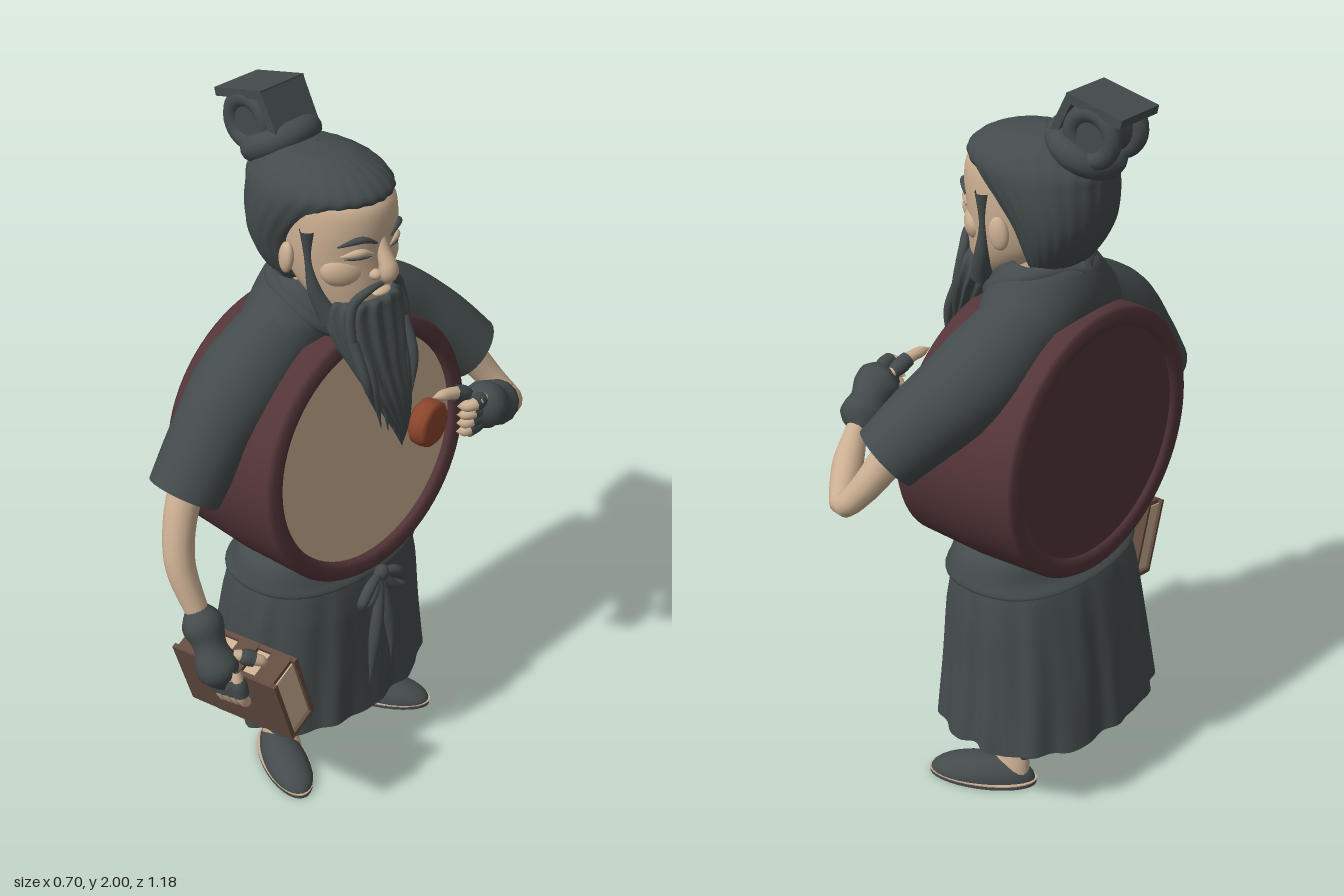
import * as THREE from 'three';
import { mergeVertices } from 'three/addons/utils/BufferGeometryUtils.js';

const V = (p) => new THREE.Vector3(...p);
const mat = (name, color, side = THREE.FrontSide) => {
  const m = new THREE.MeshStandardMaterial({ color, side });
  m.name = name;
  return m;
};

export function createModel() {
  const cloth = mat('slate cloth and hair', 0x444b4c, THREE.DoubleSide);
  const skin = mat('skin', 0xcbaf92);
  const hide = mat('drum hide', 0xcdb092);
  const wood = mat('maroon wood', 0x533538, THREE.DoubleSide);
  const red = mat('red clay', 0x8c452c);
  const leather = mat('brown leather', 0x644d40);

  const model = new THREE.Group();
  // The figure is modelled facing +z, then turned to look along +x
  const body = new THREE.Group();
  body.name = 'drummer';
  body.rotation.y = Math.PI / 2;
  model.add(body);

  const add = (name, geo, m, pos = [0, 0, 0], rot = [0, 0, 0], parent = body) => {
    const mesh = new THREE.Mesh(geo, m);
    mesh.name = name;
    mesh.position.set(...pos);
    mesh.rotation.set(...rot);
    parent.add(mesh);
    return mesh;
  };

  // Skin through horizontal ellipses [y, cx, cz, rx, rz], listed from bottom to top
  const loft = (rings, rule, n = 48, rows = 40) => {
    const mid = new THREE.CatmullRomCurve3(rings.map((r) => V([r[1], r[0], r[2]])));
    const rad = new THREE.CatmullRomCurve3(rings.map((r, i) => V([r[3], i * 0.05, r[4]])));
    const pos = [], idx = [];
    for (let i = 0; i <= rows; i++) {
      const t = i / rows, c = mid.getPoint(t), r = rad.getPoint(t);
      for (let j = 0; j < n; j++) {
        const a = (j / n) * Math.PI * 2;
        const p = V([Math.sin(a) * Math.max(r.x, 0.001), 0, Math.cos(a) * Math.max(r.z, 0.001)]);
        if (rule) rule(p, a, t);
        p.add(c);
        pos.push(p.x, p.y, p.z);
        if (i < rows) {
          const k = i * n + j, l = i * n + ((j + 1) % n);
          idx.push(k, l, k + n, l, l + n, k + n);
        }
      }
    }
    const g = new THREE.BufferGeometry();
    g.setAttribute('position', new THREE.Float32BufferAttribute(pos, 3));
    g.setIndex(idx);
    g.computeVertexNormals();
    return g;
  };

  // Tube along points whose radius follows a list
  const sweep = (pts, radii, seg = 20, sides = 14) => {
    const curve = new THREE.CatmullRomCurve3(pts.map(V));
    const g = new THREE.TubeGeometry(curve, seg, 1, sides);
    const rad = new THREE.CatmullRomCurve3(radii.map((r, i) => V([i * 0.05, r, 0])));
    const p = g.attributes.position, v = V([0, 0, 0]);
    for (let i = 0; i < p.count; i++) {
      const t = Math.floor(i / (sides + 1)) / seg, c = curve.getPointAt(t);
      v.fromBufferAttribute(p, i).sub(c).multiplyScalar(Math.max(rad.getPoint(t).y, 0.0005)).add(c);
      p.setXYZ(i, v.x, v.y, v.z);
    }
    g.deleteAttribute('uv');
    g.deleteAttribute('normal');
    const out = mergeVertices(g, 1e-6);
    out.computeVertexNormals();
    return out;
  };
  const blob = (name, m, pos, size, rot) =>
    add(name, new THREE.SphereGeometry(1, 24, 16), m, pos, rot).scale.set(...size);

  // Drum: upright back, front leaning up; raised rims, hide in front, board behind
  const drum = new THREE.Group();
  drum.name = 'drum';
  drum.position.set(0, 1.058, -0.262);
  drum.rotation.x = Math.PI / 2;
  drum.scale.z = 0.965;
  body.add(drum);
  const lean = (g) => {
    const p = g.attributes.position;
    for (let i = 0; i < p.count; i++) p.setY(i, p.getY(i) * (1 + 0.2 * p.getZ(i)));
    g.computeVertexNormals();
    return g;
  };
  const shell = [[0.322, 0.02], [0.326, 0.005], [0.345, 0], [0.372, 0], [0.38, 0.012], [0.381, 0.05], [0.387, 0.19],
    [0.381, 0.34], [0.38, 0.37], [0.37, 0.382], [0.342, 0.382], [0.328, 0.375], [0.324, 0.352]];
  add('drumShell', lean(new THREE.LatheGeometry(shell.map((p) => new THREE.Vector2(...p)), 72)), wood, [0, 0, 0], [0, 0, 0], drum);
  add('drumHide', lean(new THREE.CylinderGeometry(0.326, 0.326, 0.008, 64).toNonIndexed().translate(0, 0.36, 0)), hide, [0, 0, 0], [0, 0, 0], drum);
  add('drumBack', new THREE.CylinderGeometry(0.325, 0.325, 0.01, 64), wood, [0, 0.018, 0], [0, 0, 0], drum);

  // Robe over the shoulders, with a wrapped collar
  add('robeYoke', loft([[1.15, 0, -0.08, 0.3, 0.11], [1.3, 0, -0.085, 0.31, 0.125], [1.4, 0, -0.09, 0.26, 0.135],
    [1.47, 0, -0.085, 0.19, 0.14], [1.53, 0, -0.09, 0.135, 0.115], [1.545, 0, -0.09, 0.11, 0.095], [1.48, 0, -0.08, 0.09, 0.08]]), cloth);
  for (const s of [-1, 1])
    add('collarFold', sweep([[0, 1.53, -0.19], [s * 0.11, 1.525, -0.12], [s * 0.12, 1.47, 0], [s * 0.05, 1.4, 0.065]],
      [0.022, 0.024, 0.024, 0.01]), cloth);

  // Sleeves and bare arms
  add('rightSleeve', sweep([[-0.12, 1.39, -0.09], [-0.29, 1.28, -0.09], [-0.39, 1.17, -0.095], [-0.468, 1.06, -0.1]],
    [0.11, 0.12, 0.105, 0.096], 24, 28), cloth);
  add('leftSleeve', sweep([[0.12, 1.39, -0.1], [0.3, 1.295, -0.075], [0.41, 1.21, -0.015], [0.49, 1.125, 0.045]],
    [0.11, 0.12, 0.108, 0.092], 24, 28), cloth);
  add('rightArm', sweep([[-0.44, 1.12, -0.1], [-0.5, 1, -0.085], [-0.53, 0.89, -0.06], [-0.525, 0.75, -0.005]],
    [0.05, 0.044, 0.039, 0.03]), skin);
  add('leftArm', sweep([[0.46, 1.15, 0.03], [0.53, 1.03, 0.095], [0.55, 0.985, 0.14], [0.47, 1.03, 0.2], [0.37, 1.09, 0.255]],
    [0.05, 0.04, 0.033, 0.04, 0.028], 28), skin);

  // Gloves: flared cuff and palm; fingers are covered at the root and bare at the tip
  add('rightGlove', sweep([[-0.525, 0.79, -0.03], [-0.525, 0.775, -0.02], [-0.527, 0.71, 0.02], [-0.535, 0.64, 0.06], [-0.525, 0.56, 0.1]],
    [0.01, 0.055, 0.044, 0.058, 0.01]), cloth);
  add('leftGlove', sweep([[0.385, 1.085, 0.235], [0.37, 1.092, 0.243], [0.325, 1.12, 0.265], [0.26, 1.155, 0.285], [0.19, 1.17, 0.285]],
    [0.01, 0.062, 0.05, 0.064, 0.02]), cloth);
  const finger = (a, b, c) => {
    add('gloveFinger', sweep([a, a.map((v, i) => (v + b[i]) / 2), b], [0, 0.021, 0.021], 8, 10), cloth);
    add('fingerTip', sweep([a, b, c], [0.01, 0.015, 0.017, 0.017, 0.016, 0.014, 0], 16, 10), skin);
  };
  for (let k = 0; k < 4; k++) {
    const z = 0.055 + k * 0.026, y = 0.008 * k;
    finger([-0.53, 0.62 + y, z], [-0.527, 0.545 + y, z + 0.012], [-0.5, 0.49 + y, z + 0.012]);
    finger([0.26, 1.19 - k * 0.022, 0.295], [0.178, 1.198 - k * 0.028, 0.305 - k * 0.005], [0.165, 1.182 - k * 0.026, 0.265]);
  }
  finger([-0.5, 0.66, 0.09], [-0.46, 0.64, 0.13], [-0.43, 0.62, 0.15]);
  finger([0.25, 1.18, 0.26], [0.17, 1.215, 0.25], [0.1, 1.225, 0.235]);

  // Round clay beater held against the drum
  const beater = [[0, -0.03], [0.05, -0.03], [0.062, -0.02], [0.065, 0], [0.062, 0.02], [0.05, 0.03], [0, 0.03]];
  add('beater', new THREE.LatheGeometry(beater.map((p) => new THREE.Vector2(...p)), 32), red, [0.112, 1.135, 0.212], [Math.PI / 2, 0, -0.15]);

  // Book: two covers, a spine, pages and straps
  const book = new THREE.Group();
  book.name = 'book';
  book.position.set(-0.428, 0.508, 0.052);
  book.rotation.set(-0.05, 0.15, 0.28);
  body.add(book);
  const slab = (name, m, size, pos) => add(name, new THREE.BoxGeometry(...size), m, pos, [0, 0, 0], book);
  for (const s of [-1, 1]) slab('bookCover', leather, [0.014, 0.225, 0.335], [s * 0.047, 0, 0]);
  slab('bookSpine', leather, [0.09, 0.012, 0.335], [0, -0.107, 0]);
  slab('bookPages', hide, [0.082, 0.2, 0.318], [0, 0.002, 0]);
  for (const z of [-0.125, 0.02, 0.125]) slab('bookStrap', leather, [0.102, 0.012, 0.06], [0, 0.108, z]);

  // Pleated skirt, squarish in plan, slit on the right side only
  const hang = (p, a, t) => {
    const w = 1 - t, f = 1 + w * (0.022 * Math.sin(a * 14 + 2 * w) + 0.01 * Math.sin(a * 23)) + 0.06 * Math.sin(2 * a) ** 2;
    p.x *= f;
    p.z *= f;
    const slit = Math.exp(-(((a - 4.78) / 0.08) ** 2));
    p.y += w ** 4 * (0.14 * slit + 0.005 * Math.sin(a * 9));
  };
  add('skirt', loft([[0.215, 0, -0.093, 0.335, 0.25], [0.4, 0, -0.085, 0.31, 0.235], [0.58, 0, -0.073, 0.293, 0.214],
    [0.68, 0, -0.066, 0.272, 0.192], [0.77, 0, -0.055, 0.22, 0.14]], hang, 160, 30), cloth);
  add('sash', loft([[0.668, 0, -0.066, 0.275, 0.19], [0.678, 0, -0.064, 0.298, 0.208], [0.705, 0, -0.056, 0.294, 0.186],
    [0.755, 0, -0.055, 0.275, 0.165], [0.785, 0, -0.055, 0.235, 0.14]], (p, a) => p.multiplyScalar(1 + 0.05 * Math.sin(2 * a) ** 2), 48, 16), cloth);
  blob('sashKnot', cloth, [0.005, 0.672, 0.155], [0.024, 0.024, 0.02]);
  for (const s of [-1, 1]) {
    add('sashLoop', sweep([[0, 0.675, 0.155], [s * 0.045, 0.665, 0.165], [s * 0.085, 0.61, 0.165], [s * 0.055, 0.61, 0.165], [0, 0.668, 0.155]],
      [0.008, 0.016, 0.015, 0.014, 0.008]), cloth);
    add('sashTail', sweep([[0, 0.67, 0.155], [s * 0.015, 0.58, 0.165], [s * 0.035, 0.46, 0.168], [s * 0.045 - 0.01, 0.34 + s * 0.02, 0.17]],
      [0.01, 0.015, 0.019, 0.012, 0]), cloth);
  }

  // Legs and slippers, toes turned out
  for (const s of [-1, 1]) {
    add('trouserLeg', loft([[0.125, s * 0.148, -0.09, 0.02, 0.03], [0.125, s * 0.148, -0.09, 0.046, 0.066], [0.25, s * 0.145, -0.085, 0.05, 0.075],
      [0.45, s * 0.14, -0.08, 0.09, 0.11], [0.65, s * 0.12, -0.07, 0.11, 0.12]], null, 24, 16), cloth);
    add('ankle', loft([[0.03, s * 0.165, -0.075, 0.042, 0.07], [0.08, s * 0.16, -0.085, 0.038, 0.058], [0.16, s * 0.15, -0.09, 0.035, 0.045]], null, 20, 8), skin);
    const foot = new THREE.Group();
    foot.name = 'slipper';
    foot.position.set(s * 0.208, 0, -0.02);
    foot.rotation.y = s * 0.45;
    body.add(foot);
    const shoe = new THREE.SphereGeometry(1, 32, 20), p = shoe.attributes.position;
    for (let i = 0; i < p.count; i++) {
      const x = p.getX(i), y = p.getY(i), z = p.getZ(i);
      p.setXYZ(i, x * (0.062 + 0.008 * z), y < 0 ? 0.012 : 0.012 + y * (0.064 - 0.012 * z), z * 0.151);
    }
    shoe.computeVertexNormals();
    add('slipperUpper', shoe, cloth, [0, 0, 0], [0, 0, 0], foot);
    add('sole', new THREE.CylinderGeometry(1, 1, 0.012, 32), cloth, [0, 0.006, 0], [0, 0, 0], foot).scale.set(0.065, 1, 0.154);
    add('soleTrim', new THREE.CylinderGeometry(1, 1, 0.004, 32), skin, [0, 0.013, 0], [0, 0, 0], foot).scale.set(0.0665, 1, 0.1555);
  }

  // Neck, head and face
  add('neck', sweep([[0, 1.4, -0.07], [0, 1.5, -0.05], [0, 1.6, -0.03]], [0.08, 0.078, 0.08]), skin);
  add('head', loft([[1.45, 0, 0.08, 0, 0], [1.46, 0, 0.08, 0.05, 0.05], [1.51, 0, 0.04, 0.1, 0.1], [1.57, 0, 0.01, 0.124, 0.134],
    [1.65, 0, 0, 0.137, 0.144], [1.72, 0, 0, 0.138, 0.152], [1.78, 0, -0.005, 0.13, 0.148], [1.83, 0, -0.02, 0.09, 0.1], [1.85, 0, -0.02, 0, 0]]), skin);
  add('nose', sweep([[0, 1.71, 0.135], [0, 1.66, 0.148], [0, 1.61, 0.166], [0, 1.592, 0.155], [0, 1.588, 0.13]], [0.01, 0.015, 0.021, 0.024, 0]), skin);
  blob('lowerLip', skin, [0, 1.547, 0.143], [0.03, 0.01, 0.018]);
  for (const s of [-1, 1]) {
    blob('nostril', skin, [s * 0.024, 1.602, 0.143], [0.016, 0.014, 0.018]);
    blob('cheek', skin, [s * 0.068, 1.615, 0.084], [0.065, 0.05, 0.039], [0, s * 0.5, 0]);
    blob('ear', skin, [s * 0.146, 1.63, -0.04], [0.016, 0.043, 0.026], [0.15, s * 0.3, 0]);
    add('eyebrow', sweep([[s * 0.025, 1.69, 0.149], [s * 0.065, 1.708, 0.137], [s * 0.11, 1.69, 0.097]], [0.003, 0.009, 0.002]), cloth);
    add('eyelid', sweep([[s * 0.03, 1.66, 0.14], [s * 0.062, 1.67, 0.13], [s * 0.1, 1.66, 0.097]], [0.004, 0.012, 0.004]), skin);
    add('eyeLine', sweep([[s * 0.035, 1.655, 0.142], [s * 0.062, 1.657, 0.135], [s * 0.095, 1.654, 0.106]], [0.001, 0.004, 0.001]), cloth);
    add('moustache', sweep([[s * 0.004, 1.575, 0.152], [s * 0.045, 1.567, 0.145], [s * 0.085, 1.53, 0.125], [s * 0.1, 1.44, 0.135], [s * 0.085, 1.34, 0.165]],
      [0.006, 0.012, 0.014, 0.012, 0.001]), cloth);
    add('sideburn', sweep([[s * 0.13, 1.72, 0.02], [s * 0.13, 1.63, 0.022], [s * 0.12, 1.55, 0.035], [s * 0.095, 1.48, 0.06]],
      [0.022, 0.011, 0.02, 0.03]), cloth);
  }

  // Long beard with loose strands
  const groove = (amp, count) => (p, a) => p.multiplyScalar(1 + amp * Math.sin(a * count));
  add('beard', loft([[1.07, 0.06, 0.17, 0, 0], [1.15, 0.04, 0.18, 0.028, 0.018], [1.25, 0.015, 0.175, 0.062, 0.03], [1.35, 0, 0.145, 0.092, 0.045],
    [1.44, 0, 0.105, 0.118, 0.068], [1.5, 0, 0.085, 0.117, 0.078], [1.53, 0, 0.085, 0.098, 0.07], [1.535, 0, 0.085, 0, 0]], groove(0.06, 15), 90), cloth);
  for (const [x, len] of [[-0.1, 0.2], [-0.07, 0.26], [-0.035, 0.28], [0, 0.3], [0.03, 0.33], [0.06, 0.26], [0.09, 0.2]])
    add('beardStrand', sweep([[x, 1.44, 0.14], [x * 0.95, 1.44 - len * 0.5, 0.18], [x * 0.75 + 0.012, 1.44 - len, 0.185]], [0.014, 0.013, 0.001]), cloth);

  // Combed hair, topknot and flat headpiece
  add('hair', loft([[1.51, 0, -0.11, 0.03, 0.02], [1.53, 0, -0.115, 0.09, 0.06], [1.59, 0, -0.13, 0.128, 0.09], [1.65, 0, -0.13, 0.147, 0.12],
    [1.71, 0, -0.107, 0.157, 0.155], [1.765, 0, -0.076, 0.158, 0.189], [1.8, 0, -0.06, 0.15, 0.204], [1.84, 0, -0.06, 0.122, 0.168],
    [1.87, 0, -0.07, 0.07, 0.105], [1.88, 0, -0.07, 0, 0]], groove(0.009, 26), 104), cloth);
  add('topknotBase', new THREE.TorusGeometry(0.072, 0.035, 14, 32), cloth, [0, 1.85, -0.195], [Math.PI / 2 - 0.5, 0, 0]);
  add('topknotRoll', new THREE.CylinderGeometry(0.064, 0.064, 0.135, 28), cloth, [0, 1.902, -0.242], [0, 0, Math.PI / 2]);
  for (const s of [-1, 1])
    add('topknotCoil', new THREE.TorusGeometry(0.058, 0.024, 12, 28), cloth, [s * 0.055, 1.898, -0.25], [0, Math.PI / 2, 0]);
  add('headpieceTop', new THREE.BoxGeometry(0.15, 0.022, 0.165), cloth, [0, 1.969, -0.266], [-0.22, 0, 0]);
  add('headpieceFlap', new THREE.BoxGeometry(0.148, 0.022, 0.12), cloth, [0, 1.936, -0.17], [1.1, 0, 0]);
  return model;
}
